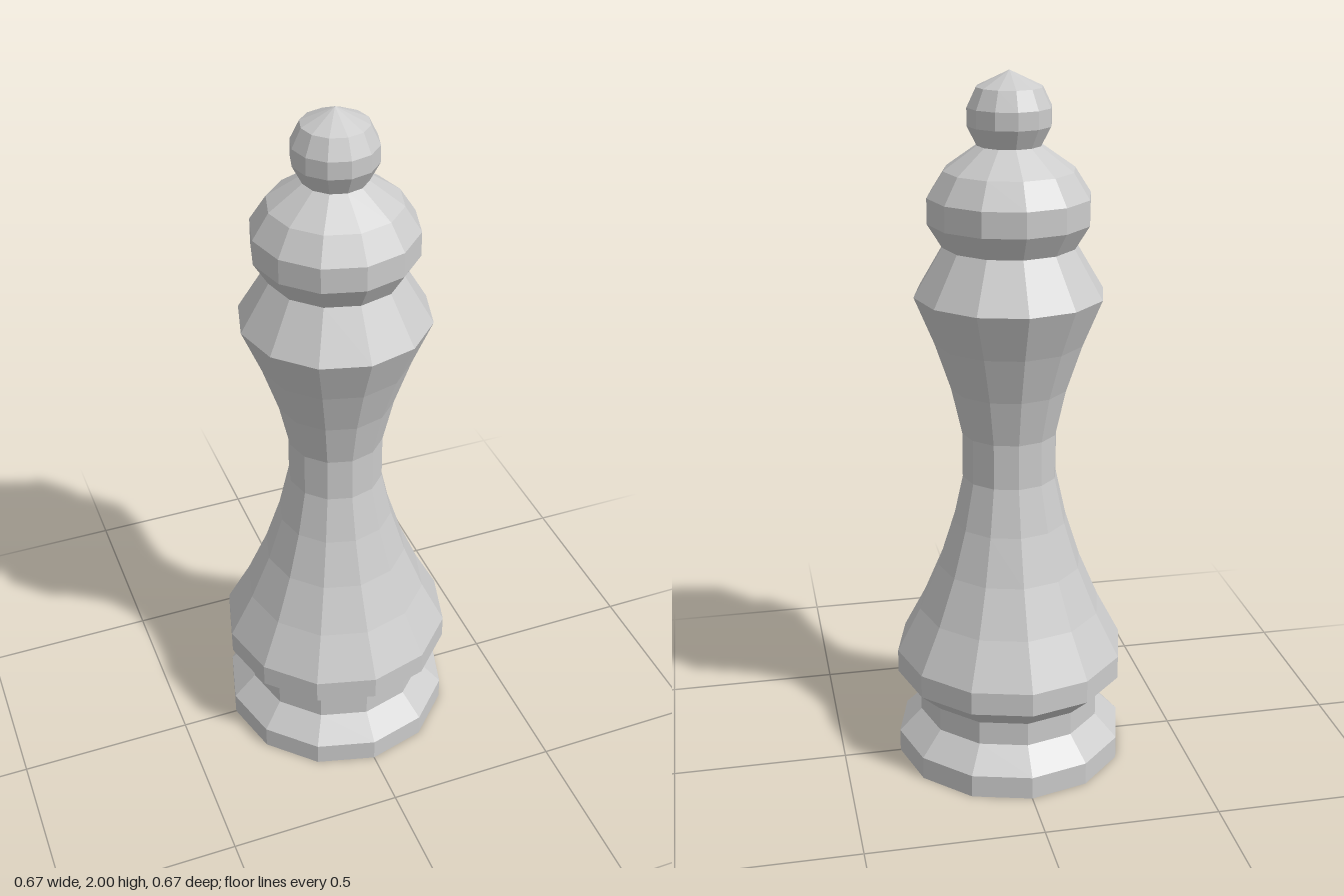
import * as THREE from 'three';

const SIDES = 12;
const material = new THREE.MeshStandardMaterial({ color: 0xcccccc, flatShading: true });

// Turned part from [radius, height] pairs, listed bottom to top
function turned(name, profile) {
  const points = profile.map(([r, y]) => new THREE.Vector2(r, y));
  const mesh = new THREE.Mesh(new THREE.LatheGeometry(points, SIDES), material);
  mesh.name = name;
  return mesh;
}

export function createModel() {
  const group = new THREE.Group();
  group.name = 'chessPiece';
  group.add(
    // Foot disc with a closed underside, chamfered into the groove
    turned('foot', [[0, 0], [0.333, 0], [0.333, 0.067], [0.267, 0.135]]),
    turned('footGroove', [[0.267, 0.135], [0.267, 0.205]]),
    // Flared skirt sweeping up to the narrow waist
    turned('skirt', [
      [0.267, 0.205], [0.333, 0.267], [0.333, 0.335], [0.265, 0.465],
      [0.208, 0.6], [0.165, 0.735], [0.135, 0.87],
    ]),
    turned('waist', [[0.135, 0.87], [0.135, 1.0]]),
    // Shoulder widening to the collar rim, then tapering in
    turned('collar', [
      [0.135, 1.0], [0.165, 1.133], [0.21, 1.267], [0.265, 1.4], [0.185, 1.535],
    ]),
    // Domed head
    turned('head', [
      [0.185, 1.535], [0.225, 1.6], [0.225, 1.67], [0.18, 1.74], [0.088, 1.805],
    ]),
    // Small ball on top
    turned('finial', [
      [0.088, 1.805], [0.115, 1.857], [0.115, 1.905], [0.09, 1.957], [0, 2],
    ]),
  );
  return group;
}
